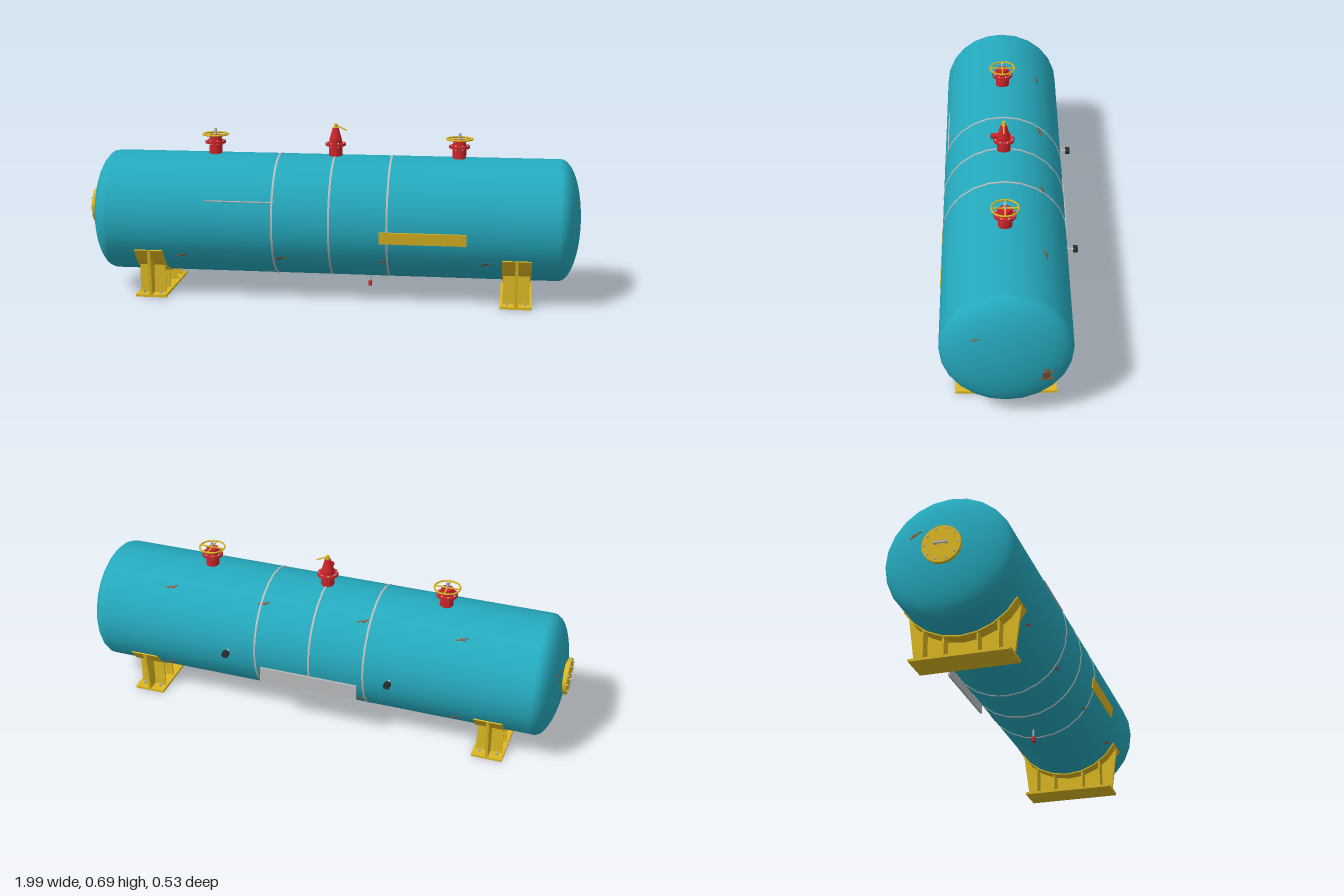
import * as THREE from 'three';

const R = 0.243, CY = 0.323, CZ = 0.02;      // shell radius and axis position
const X0 = -0.885, X1 = 0.91, HEAD = 0.083;  // straight shell ends, head depth

export function createModel() {
  const model = new THREE.Group();
  const paint = (name, color) => {
    const m = new THREE.MeshStandardMaterial({ color });
    m.name = name;
    return m;
  };
  const teal = paint('teal paint', 0x25a9bd), yellow = paint('yellow paint', 0xdcb722);
  const red = paint('red paint', 0xcc2429), steel = paint('steel', 0xb8babc);
  const black = paint('black rubber', 0x2a2e30), rust = paint('rust', 0x96502c);

  const add = (name, geo, mat, x, y, z, parent = model) => {
    const m = new THREE.Mesh(geo, mat);
    m.name = name;
    m.position.set(x, y, z);
    parent.add(m);
    return m;
  };
  const box = (w, h, d) => new THREE.BoxGeometry(w, h, d);
  const cyl = (rTop, rBottom, h, n = 20) => new THREE.CylinderGeometry(rTop, rBottom, h, n);
  const group = (name, x, y, z) => {
    const g = new THREE.Group();
    g.name = name;
    g.position.set(x, y, z);
    model.add(g);
    return g;
  };

  // Shell and dished heads
  const shell = new THREE.CylinderGeometry(R, R, X1 - X0, 24, 1, true).rotateZ(-Math.PI / 2);
  add('tankShell', shell, teal, (X0 + X1) / 2, CY, CZ);
  const headProfile = [];
  for (let i = 0; i <= 10; i++) {
    const a = (i / 10) * Math.PI / 2;
    headProfile.push(new THREE.Vector2(i === 10 ? 0 : R * Math.cos(a), HEAD * Math.sin(a)));
  }
  for (const [x, s] of [[X0, 1], [X1, -1]]) {
    const head = new THREE.LatheGeometry(headProfile, 24).rotateZ(s * Math.PI / 2);
    add(s > 0 ? 'rightHead' : 'leftHead', head, teal, x, CY, CZ);
  }

  // Steel bands
  for (const x of [-0.213, 0.012, 0.24])
    add('band', cyl(R + 0.002, R + 0.002, 0.008, 24).rotateZ(-Math.PI / 2), steel, x, CY, CZ);

  // Saddle supports: base, profiled web, ribs and curved pad
  const arc = (r) => Array.from({ length: 9 }, (_, i) => {
    const a = Math.PI + (Math.PI / 6) + i * Math.PI / 12;
    return new THREE.Vector2(CZ + r * Math.cos(a), CY + r * Math.sin(a));
  });
  const slab = (pts, t) => new THREE.ExtrudeGeometry(new THREE.Shape(pts), { depth: t, bevelEnabled: false })
    .translate(0, 0, -t / 2).rotateY(-Math.PI / 2);
  const webPts = [new THREE.Vector2(0.208, 0.008), ...arc(R + 0.003).reverse(), new THREE.Vector2(-0.168, 0.008)];
  const padPts = [...arc(R + 0.005), ...arc(R - 0.004).reverse()];
  for (const x of [-0.716, 0.746]) {
    const s = group('saddle', x, 0, 0);
    add('basePlate', box(0.125, 0.01, 0.38), yellow, 0, 0.005, CZ, s);
    add('web', slab(webPts, 0.012), yellow, 0, 0, 0, s);
    add('pad', slab(padPts, 0.115), yellow, 0, 0, 0, s);
    for (const z of [0.162, 0.084, -0.043, -0.121]) {
      const top = CY - Math.sqrt(R * R - (z - CZ) ** 2);
      add('rib', box(0.105, top - 0.008, 0.006), yellow, 0, (top + 0.008) / 2, z, s);
    }
    for (const z of [0.183, -0.14])
      for (const dx of [-0.035, 0.035])
        add('anchorBolt', cyl(0.005, 0.005, 0.012, 8), steel, dx, 0.015, z, s);
  }

  // Flanged nozzle shared by the top fittings
  const nozzle = (g) => {
    add('neck', cyl(0.027, 0.027, 0.06), red, 0, 0.575, 0, g);
    add('flange', cyl(0.042, 0.042, 0.009), red, 0, 0.61, 0, g);
    for (let i = 0; i < 8; i++) {
      const a = (i + 0.5) * Math.PI / 4;
      add('flangeBolt', cyl(0.003, 0.003, 0.018, 6), steel, 0.036 * Math.cos(a), 0.61, 0.036 * Math.sin(a), g);
    }
  };

  // Handwheel valves
  for (const x of [-0.478, 0.508]) {
    const g = group('handwheelValve', x, 0, CZ);
    nozzle(g);
    add('bonnet', cyl(0.024, 0.027, 0.026), red, 0, 0.625, 0, g);
    add('stem', cyl(0.006, 0.006, 0.03, 10), steel, 0, 0.649, 0, g);
    add('wheelRim', new THREE.TorusGeometry(0.051, 0.0035, 8, 28).rotateX(Math.PI / 2), yellow, 0, 0.641, 0, g);
    for (let i = 0; i < 2; i++)
      add('spoke', box(0.1, 0.004, 0.005), yellow, 0, 0.641, 0, g).rotation.y = i * Math.PI / 2;
  }

  // Relief valve with side outlet and lever
  const relief = group('reliefValve', 0.012, 0, CZ);
  nozzle(relief);
  add('body', cyl(0.026, 0.026, 0.014), red, 0, 0.62, 0, relief);
  add('cone', cyl(0.012, 0.026, 0.05), red, 0, 0.651, 0, relief);
  add('outlet', cyl(0.011, 0.011, 0.052, 14).rotateX(Math.PI / 2), red, 0, 0.628, 0.026, relief);
  add('cap', cyl(0.007, 0.008, 0.017, 10), yellow, 0, 0.684, 0, relief);
  add('lever', box(0.052, 0.004, 0.006), yellow, 0.022, 0.677, 0, relief).rotation.z = -0.45;

  // Access cover on the right head
  const cover = group('accessCover', 0, 0.335, CZ);
  add('coverNeck', cyl(0.06, 0.06, 0.03, 24).rotateZ(Math.PI / 2), yellow, -0.96, 0, 0, cover);
  add('coverDisc', cyl(0.073, 0.073, 0.014, 24).rotateZ(Math.PI / 2), yellow, -0.977, 0, 0, cover);
  add('coverHandle', box(0.006, 0.008, 0.05), steel, -0.997, 0, 0, cover);
  for (const z of [-0.02, 0.02])
    add('handlePost', box(0.018, 0.006, 0.006), steel, -0.989, 0, z, cover);
  for (let i = 0; i < 10; i++) {
    const a = i * Math.PI / 5;
    add('coverBolt', cyl(0.004, 0.004, 0.01, 6).rotateZ(Math.PI / 2), steel,
      -0.985, 0.062 * Math.sin(a), 0.062 * Math.cos(a), cover);
  }

  // Front plate and rail
  add('frontPlate', box(0.34, 0.048, 0.008), yellow, 0.38, 0.284, 0.2585).rotation.x = 0.16;
  add('frontRail', cyl(0.003, 0.003, 0.265, 8).rotateZ(Math.PI / 2), steel, -0.348, 0.411, 0.248);

  // Rear plate on standoffs, and rear knobs
  add('rearPlate', box(0.405, 0.066, 0.008), steel, 0.012, 0.24, -0.227);
  for (const x of [-0.12, 0.145])
    add('standoff', cyl(0.004, 0.004, 0.03, 8).rotateX(Math.PI / 2), steel, x, 0.24, -0.212);
  for (const x of [-0.323, 0.352]) {
    add('knobStem', cyl(0.005, 0.005, 0.04, 10).rotateX(Math.PI / 2), steel, x, CY + 0.002, -0.232);
    add('knob', cyl(0.015, 0.015, 0.017, 8).rotateX(Math.PI / 2), black, x, CY + 0.002, -0.254);
  }

  // Drain under the shell
  add('drainPipe', cyl(0.004, 0.004, 0.05, 10), steel, 0.155, 0.069, CZ);
  add('drainTap', cyl(0.008, 0.008, 0.02, 10), red, 0.155, 0.038, CZ);

  // Rust marks: short dashes lying on the surface
  const mark = (pos, normal, dashes) => {
    const g = group('rustMark', ...pos);
    g.quaternion.setFromUnitVectors(new THREE.Vector3(0, 0, 1), normal.normalize());
    for (const [u, v, w, h] of dashes) add('rustDash', box(w, h, 0.003), rust, u, v, 0, g);
  };
  const streaks = [[0, 0, 0.022, 0.008], [0.02, 0.005, 0.014, 0.004], [-0.014, -0.008, 0.012, 0.004]];
  const sideMark = (x, deg) => {
    const a = deg * Math.PI / 180, r = R * 0.993;
    mark([x, CY + r * Math.sin(a), CZ + r * Math.cos(a)], new THREE.Vector3(0, Math.sin(a), Math.cos(a)), streaks);
  };
  for (const x of [-0.585, -0.185, 0.225, 0.625])
    for (const deg of [-36, 128, 217]) sideMark(x, deg);
  const endMark = (s, y, z, dashes) => {
    const dy = y - CY, dz = z - CZ, k = Math.sqrt(1 - (dy * dy + dz * dz) / (R * R));
    mark([(s > 0 ? X1 : X0) + s * HEAD * k, y, z],
      new THREE.Vector3(s * k / HEAD, dy / (R * R), dz / (R * R)), dashes);
  };
  const blotch = [[0, 0, 0.026, 0.036], [0.006, 0.028, 0.02, 0.006], [-0.02, -0.01, 0.024, 0.004],
    [0.022, 0.006, 0.026, 0.004], [0.01, -0.028, 0.034, 0.004]];
  endMark(1, 0.245, -0.122, blotch);
  endMark(1, 0.42, 0.125, [[0, 0, 0.022, 0.003], [-0.012, -0.008, 0.016, 0.003]]);
  endMark(-1, 0.4, -0.09, streaks);

  return model;
}
